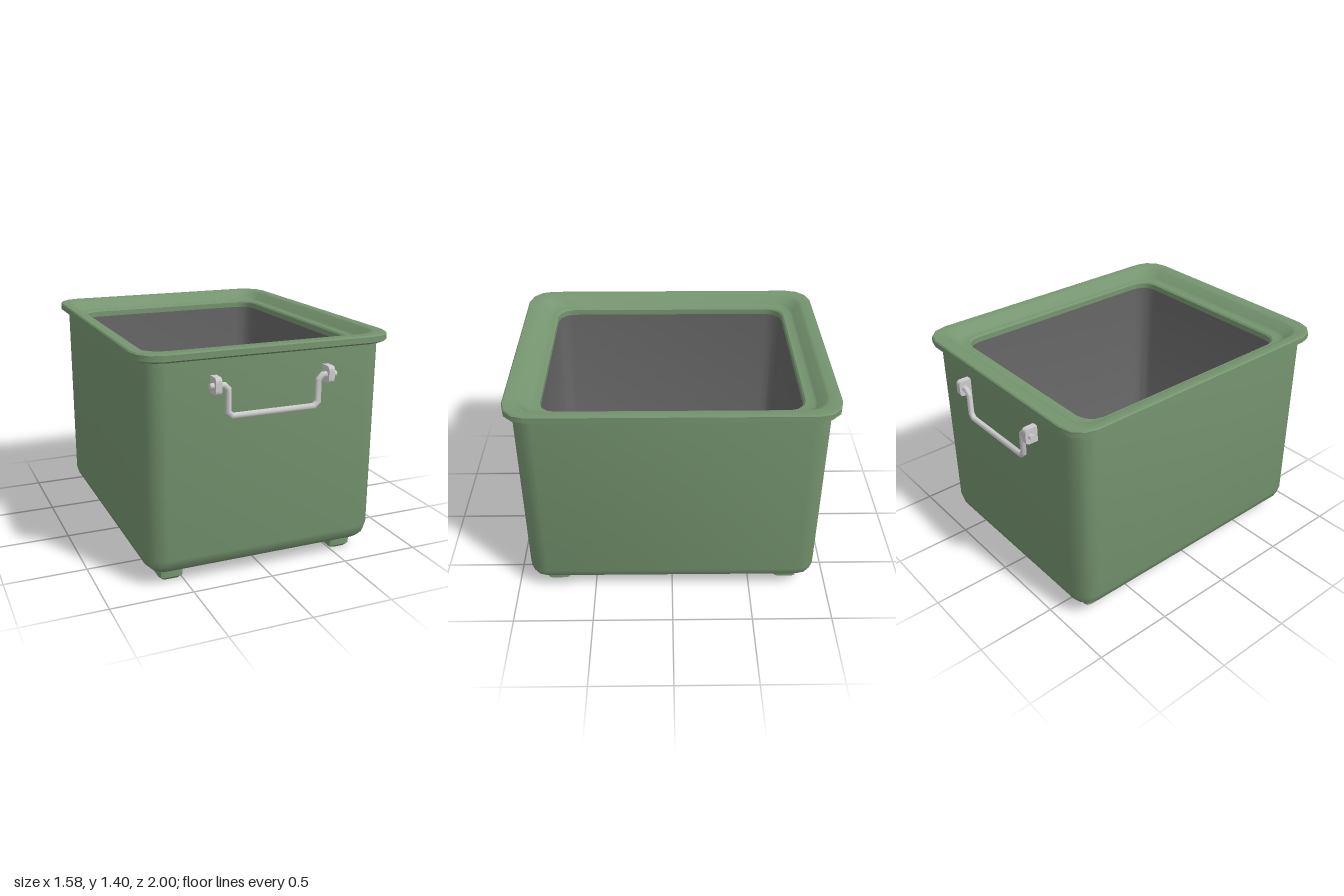
import * as THREE from 'three';
import { toCreasedNormals } from 'three/addons/utils/BufferGeometryUtils.js';

const green = new THREE.MeshStandardMaterial({ color: 0x769570 });
const darkGrey = new THREE.MeshStandardMaterial({ color: 0x666666 });
const metal = new THREE.MeshStandardMaterial({ color: 0xcccccc });

// Skins a list of rings with equal point counts; ends may be capped
function loft(rings, capStart, capEnd, crease = 0.6) {
  const n = rings[0].length, pos = [], idx = [];
  rings.forEach(r => r.forEach(p => pos.push(p.x, p.y, p.z)));
  for (let i = 0; i < rings.length - 1; i++) {
    for (let j = 0; j < n; j++) {
      const a = i * n + j, b = i * n + (j + 1) % n;
      idx.push(a, a + n, b, b, a + n, b + n);
    }
  }
  const cap = (ring, first, flip) => {
    const c = ring.reduce((s, p) => s.add(p), new THREE.Vector3()).divideScalar(n);
    const k = pos.length / 3;
    pos.push(c.x, c.y, c.z);
    for (let j = 0; j < n; j++) {
      const a = first + j, b = first + (j + 1) % n;
      idx.push(k, flip ? b : a, flip ? a : b);
    }
  };
  if (capStart) cap(rings[0], 0, false);
  if (capEnd) cap(rings[rings.length - 1], (rings.length - 1) * n, true);
  const g = new THREE.BufferGeometry();
  g.setAttribute('position', new THREE.Float32BufferAttribute(pos, 3));
  g.setIndex(idx);
  return toCreasedNormals(g, crease);
}

// Horizontal rounded rectangle: half width, half depth, corner radius, height
function roundRect([hx, hz, r, y], seg = 3) {
  const pts = [];
  [[1, 1], [-1, 1], [-1, -1], [1, -1]].forEach(([sx, sz], q) => {
    for (let i = 0; i <= seg; i++) {
      const a = (q + i / seg) * Math.PI / 2;
      pts.push(new THREE.Vector3(sx * (hx - r) + r * Math.cos(a), y, sz * (hz - r) + r * Math.sin(a)));
    }
  });
  return pts;
}

// Round bar with mitred joints along a path in the xy plane
function bar(path, radius, sides) {
  const normals = path.slice(1).map((p, i) => {
    const d = p.clone().sub(path[i]).normalize();
    return new THREE.Vector2(d.y, -d.x);
  });
  const rings = path.map((p, i) => {
    const n1 = normals[Math.max(i - 1, 0)], n2 = normals[Math.min(i, normals.length - 1)];
    const m = n1.clone().add(n2).divideScalar(1 + n1.dot(n2));
    return Array.from({ length: sides }, (_, j) => {
      const a = j / sides * Math.PI * 2, c = radius * Math.cos(a);
      return new THREE.Vector3(p.x + m.x * c, p.y + m.y * c, radius * Math.sin(a));
    });
  });
  return loft(rings, true, true, 0.8);
}

function mesh(name, geometry, material, parent) {
  const m = new THREE.Mesh(geometry, material);
  m.name = name;
  parent.add(m);
  return m;
}

// Carrying handle: two lugs and a hanging bail, on the +z wall
function makeHandle() {
  const g = new THREE.Group();
  const half = [[0.39, 1.2], [0.305, 1.2], [0.28, 1.175], [0.28, 1.045], [0.255, 1.02]];
  const path = half.map(([x, y]) => new THREE.Vector2(-x, y))
    .concat(half.slice().reverse().map(([x, y]) => new THREE.Vector2(x, y)));
  mesh('handleBar', bar(path, 0.018, 10), metal, g).position.z = 0.967;

  // Lug outline: x runs outward from the wall, y is up
  const s = new THREE.Shape();
  s.moveTo(-0.01, -0.05);
  s.lineTo(0.055, -0.05);
  s.quadraticCurveTo(0.082, -0.05, 0.082, -0.023);
  s.lineTo(0.082, 0.023);
  s.quadraticCurveTo(0.082, 0.05, 0.055, 0.05);
  s.lineTo(-0.01, 0.05);
  const lug = new THREE.ExtrudeGeometry(s, { depth: 0.037, bevelEnabled: false, curveSegments: 4 });
  lug.translate(0, 0, -0.0185);
  lug.rotateY(-Math.PI / 2);
  for (const x of [-0.347, 0.347]) {
    mesh('handleLug', lug, metal, g).position.set(x, 1.2, 0.918);
  }
  return g;
}

export function createModel() {
  const model = new THREE.Group();
  model.name = 'storageBin';

  // Outer shell: rounded base, walls, overhanging rim, dished inner ledge
  const shell = [[0.64, 0.82, 0.03, 0.075]];
  for (let i = 1; i <= 3; i++) {
    const a = i * Math.PI / 6, s = Math.sin(a) * 0.1;
    shell.push([0.64 + s, 0.82 + s, 0.03 + s * 0.9, 0.175 - 0.1 * Math.cos(a)]);
  }
  shell.push(
    [0.74, 0.92, 0.12, 1.345], [0.765, 0.945, 0.14, 1.345], [0.79, 0.968, 0.15, 1.358],
    [0.79, 0.968, 0.15, 1.392], [0.783, 0.961, 0.145, 1.4], [0.735, 0.9, 0.13, 1.4],
    [0.722, 0.882, 0.125, 1.392], [0.69, 0.838, 0.115, 1.348], [0.678, 0.826, 0.11, 1.34],
    [0.645, 0.775, 0.105, 1.34], [0.635, 0.765, 0.1, 1.33], [0.635, 0.765, 0.1, 1.295]);
  mesh('shell', loft(shell.map(p => roundRect(p)), true, false), green, model);

  // Inner lining with a rounded floor edge
  const lining = [[0.635, 0.765, 0.1, 1.295], [0.645, 0.775, 0.105, 1.295], [0.645, 0.775, 0.105, 0.22],
    [0.63, 0.76, 0.09, 0.18], [0.6, 0.73, 0.06, 0.15], [0.56, 0.69, 0.03, 0.14]];
  mesh('lining', loft(lining.map(p => roundRect(p)), false, true), darkGrey, model);

  // Four feet with chamfered soles
  const foot = loft([[0.055, 0.055, 0.02, 0], [0.075, 0.075, 0.03, 0.02], [0.075, 0.075, 0.03, 0.1]]
    .map(p => roundRect(p, 2)), true, true);
  for (const x of [-0.567, 0.567]) {
    for (const z of [-0.745, 0.745]) mesh('foot', foot, green, model).position.set(x, 0, z);
  }

  // Front and back handles
  const front = makeHandle(), back = makeHandle();
  front.name = 'frontHandle';
  back.name = 'backHandle';
  back.rotation.y = Math.PI;
  model.add(front, back);
  return model;
}
